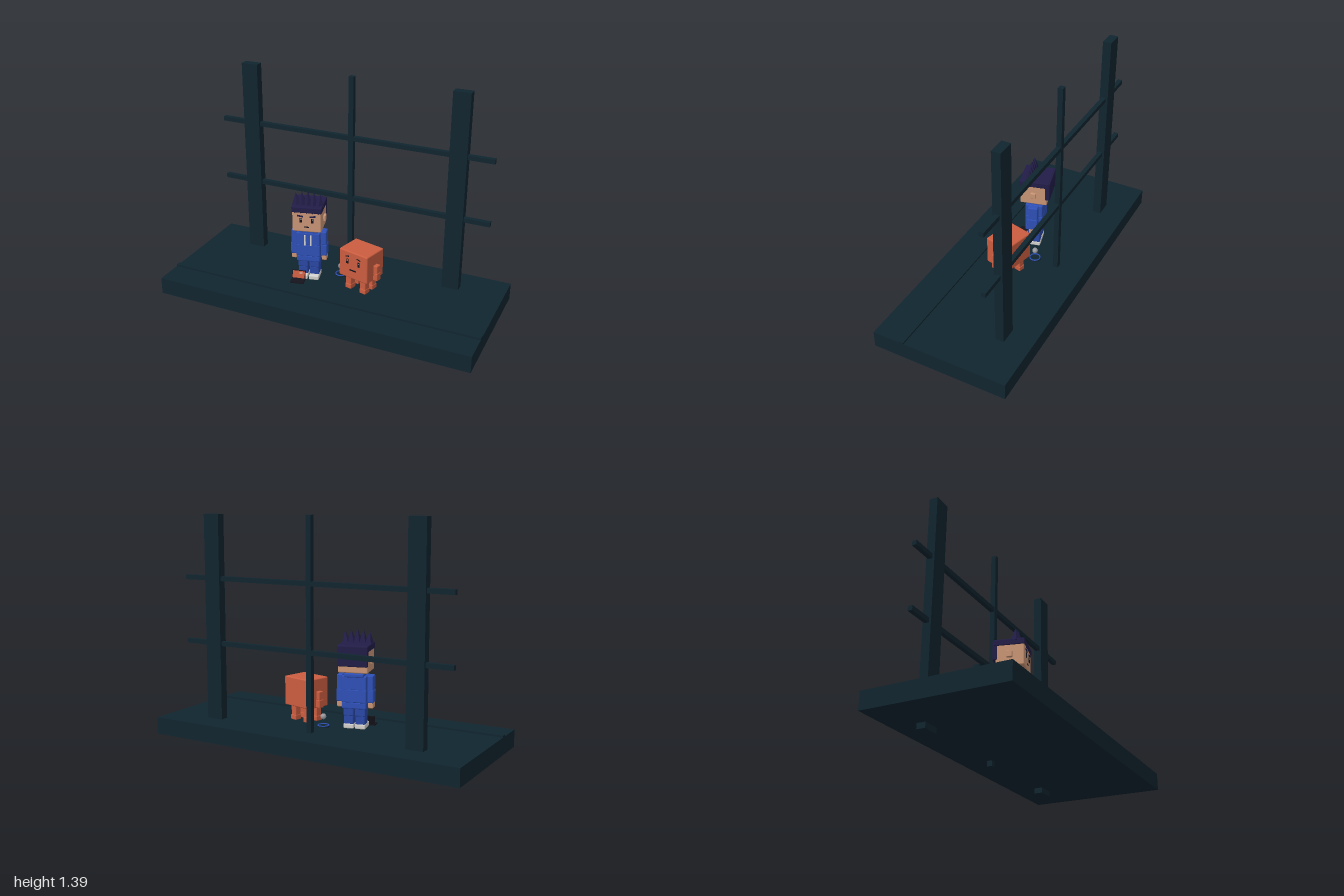
import * as THREE from 'three';
import { RoundedBoxGeometry } from 'three/addons/geometries/RoundedBoxGeometry.js';

const mat = (name, color, side = THREE.FrontSide) => {
  const m = new THREE.MeshStandardMaterial({ color, side });
  m.name = name;
  return m;
};

export function createModel() {
  const M = {
    slate: mat('dark slate', 0x10252f),
    orange: mat('terracotta', 0xcb5d40),
    skin: mat('skin', 0xcb9676),
    hair: mat('indigo hair', 0x221d48),
    jacket: mat('jacket blue', 0x2f51b8),
    trousers: mat('trouser blue', 0x2a48a6),
    white: mat('off white', 0xd6d4d0),
    black: mat('near black', 0x15131c),
    grey: mat('grey', 0x9a9ca2),
  };
  const add = (parent, name, geo, material, x, y, z) => {
    const mesh = new THREE.Mesh(geo, material);
    mesh.name = name;
    mesh.position.set(x, y, z);
    parent.add(mesh);
    return mesh;
  };
  const box = (p, name, m, w, h, d, x, y, z) =>
    add(p, name, new THREE.BoxGeometry(w, h, d), m, x, y, z);
  const soft = (p, name, m, w, h, d, x, y, z, r = 0.007) =>
    add(p, name, new RoundedBoxGeometry(w, h, d, 2, r), m, x, y, z);
  const group = (parent, name, x, y, z, turn = 0) => {
    const g = new THREE.Group();
    g.name = name;
    g.position.set(x, y, z);
    g.rotation.y = turn;
    parent.add(g);
    return g;
  };

  const model = new THREE.Group();
  model.name = 'diorama';
  const floor = 0.138;

  // Platform with a raised strip along the front
  const stage = group(model, 'stage', 0, 0, 0);
  box(stage, 'platform', M.slate, 2, 0.105, 0.845, 0, 0.0855, 0);
  box(stage, 'floorStrip', M.slate, 2, 0.012, 0.03, 0, floor + 0.005, 0.235);

  // Window frame: two posts, a thin centre pole and two rails
  const frame = group(model, 'frame', 0, 0, -0.239);
  for (const s of [-1, 1]) box(frame, 'post', M.slate, 0.106, 1.387, 0.053, s * 0.673, 0.6935, 0);
  box(frame, 'centrePole', M.slate, 0.032, 1.387, 0.032, 0, 0.6935, 0);
  for (const y of [0.607, 1.002]) box(frame, 'rail', M.slate, 1.77, 0.028, 0.028, 0, y, 0);

  // Person, turned slightly to the centre
  const person = group(model, 'person', -0.175, 0, -0.008, 0.25);
  for (const s of [-1, 1]) {
    soft(person, 'shoe', M.white, 0.062, 0.03, 0.105, s * 0.035, floor + 0.015, 0.012);
    soft(person, 'lowerLeg', M.trousers, 0.058, 0.055, 0.075, s * 0.035, 0.191, 0);
    soft(person, 'upperLeg', M.trousers, 0.062, 0.055, 0.08, s * 0.035, 0.242, 0);
    soft(person, 'upperArm', M.jacket, 0.036, 0.09, 0.062, s * 0.092, 0.415, 0);
    soft(person, 'forearm', M.jacket, 0.038, 0.078, 0.064, s * 0.094, 0.336, 0);
    soft(person, 'hand', M.skin, 0.032, 0.038, 0.048, s * 0.094, 0.282, 0);
    box(person, 'drawstring', M.white, 0.009, 0.07, 0.008, s * 0.018, 0.408, 0.055);
  }
  soft(person, 'chest', M.jacket, 0.148, 0.085, 0.108, 0, 0.415, 0);
  soft(person, 'waist', M.jacket, 0.15, 0.08, 0.11, 0, 0.338, 0);
  soft(person, 'jacketHem', M.jacket, 0.146, 0.04, 0.106, 0, 0.281, 0);
  soft(person, 'collar', M.jacket, 0.118, 0.024, 0.112, 0, 0.461, -0.004);
  box(person, 'neck', M.skin, 0.06, 0.03, 0.06, 0, 0.477, 0);

  // Head and face
  soft(person, 'head', M.skin, 0.178, 0.15, 0.168, 0, 0.555, 0, 0.008);
  for (const s of [-1, 1]) {
    soft(person, 'ear', M.skin, 0.018, 0.038, 0.034, s * 0.095, 0.547, 0, 0.004);
    box(person, 'eye', M.black, 0.014, 0.03, 0.006, s * 0.036, 0.557, 0.084);
    box(person, 'eyeGlint', M.white, 0.005, 0.007, 0.003, s * 0.036 + 0.003, 0.565, 0.0865);
    const brow = box(person, 'brow', M.hair, 0.036, 0.009, 0.007, s * 0.038, 0.585, 0.085);
    brow.rotation.z = s * 0.15;
  }
  box(person, 'mouth', M.black, 0.028, 0.006, 0.006, 0, 0.514, 0.084);

  // Hair: cap, back panel, fringe points and a row of spikes
  soft(person, 'hairCap', M.hair, 0.186, 0.038, 0.182, 0, 0.625, -0.004, 0.006);
  soft(person, 'hairBack', M.hair, 0.182, 0.122, 0.03, 0, 0.581, -0.086, 0.006);
  for (let i = 0; i < 5; i++) {
    const t = i - 2;
    const h = 0.095 - Math.abs(t) * 0.009;
    const spike = add(person, 'hairSpike', new THREE.ConeGeometry(0.032, h, 5).toNonIndexed(),
      M.hair, t * 0.036, 0.64 + h / 2 - 0.003, 0.03);
    spike.geometry.computeVertexNormals();
    spike.rotation.z = -t * 0.05;
    const fringe = add(person, 'fringePoint', new THREE.ConeGeometry(0.018, 0.022, 4),
      M.hair, t * 0.036, 0.602, 0.081);
    fringe.rotation.x = Math.PI;
    fringe.scale.z = 0.35;
  }

  // Block creature, turned the other way
  const creature = group(model, 'blockCreature', 0.175, 0, 0, -0.25);
  soft(creature, 'body', M.orange, 0.21, 0.18, 0.165, 0, 0.32, 0, 0.008);
  for (const s of [-1, 1]) {
    for (const z of [-0.036, 0.036]) {
      soft(creature, 'leg', M.orange, 0.04, 0.075, 0.042, s * 0.054, 0.203, z, 0.005);
      soft(creature, 'foot', M.orange, 0.044, 0.032, 0.048, s * 0.054, floor + 0.016, z, 0.005);
    }
    soft(creature, 'upperArm', M.orange, 0.03, 0.052, 0.036, s * 0.116, 0.307, 0, 0.005);
    soft(creature, 'lowerArm', M.orange, 0.032, 0.05, 0.038, s * 0.117, 0.258, 0, 0.005);
    box(creature, 'eye', M.black, 0.014, 0.032, 0.006, s * 0.042, 0.342, 0.082);
    box(creature, 'eyeGlint', M.white, 0.005, 0.007, 0.003, s * 0.042 + 0.003, 0.35, 0.0845);
    const brow = box(creature, 'brow', M.black, 0.026, 0.006, 0.006, s * 0.042, 0.375, 0.082);
    brow.rotation.z = -s * 0.25;
  }
  box(creature, 'mouth', M.black, 0.044, 0.008, 0.006, 0, 0.289, 0.082);

  // Small open laptop on the floor
  const laptop = group(model, 'laptop', -0.21, floor, 0.095, 0.2);
  box(laptop, 'laptopBase', M.black, 0.085, 0.007, 0.056, 0, 0.0035, 0.004);
  const lid = group(laptop, 'laptopLid', 0, 0.005, -0.02);
  lid.rotation.x = -0.22;
  box(lid, 'lidShell', M.black, 0.085, 0.056, 0.006, 0, 0.028, 0);
  box(lid, 'screen', M.orange, 0.077, 0.046, 0.003, 0, 0.029, 0.003);
  box(lid, 'screenPatch', M.white, 0.02, 0.006, 0.002, 0.014, 0.04, 0.0045);

  // Ball floating over a ringed pad
  const pad = group(model, 'floatingBall', 0, 0, -0.09);
  add(pad, 'padDisc', new THREE.CylinderGeometry(0.036, 0.038, 0.008, 24), M.slate, 0, floor + 0.004, 0);
  const ring = add(pad, 'padRing', new THREE.TorusGeometry(0.032, 0.004, 8, 28), M.jacket, 0, floor + 0.009, 0);
  ring.rotation.x = Math.PI / 2;
  add(pad, 'ball', new THREE.IcosahedronGeometry(0.018, 1), M.grey, 0, 0.2, 0);

  return model;
}
